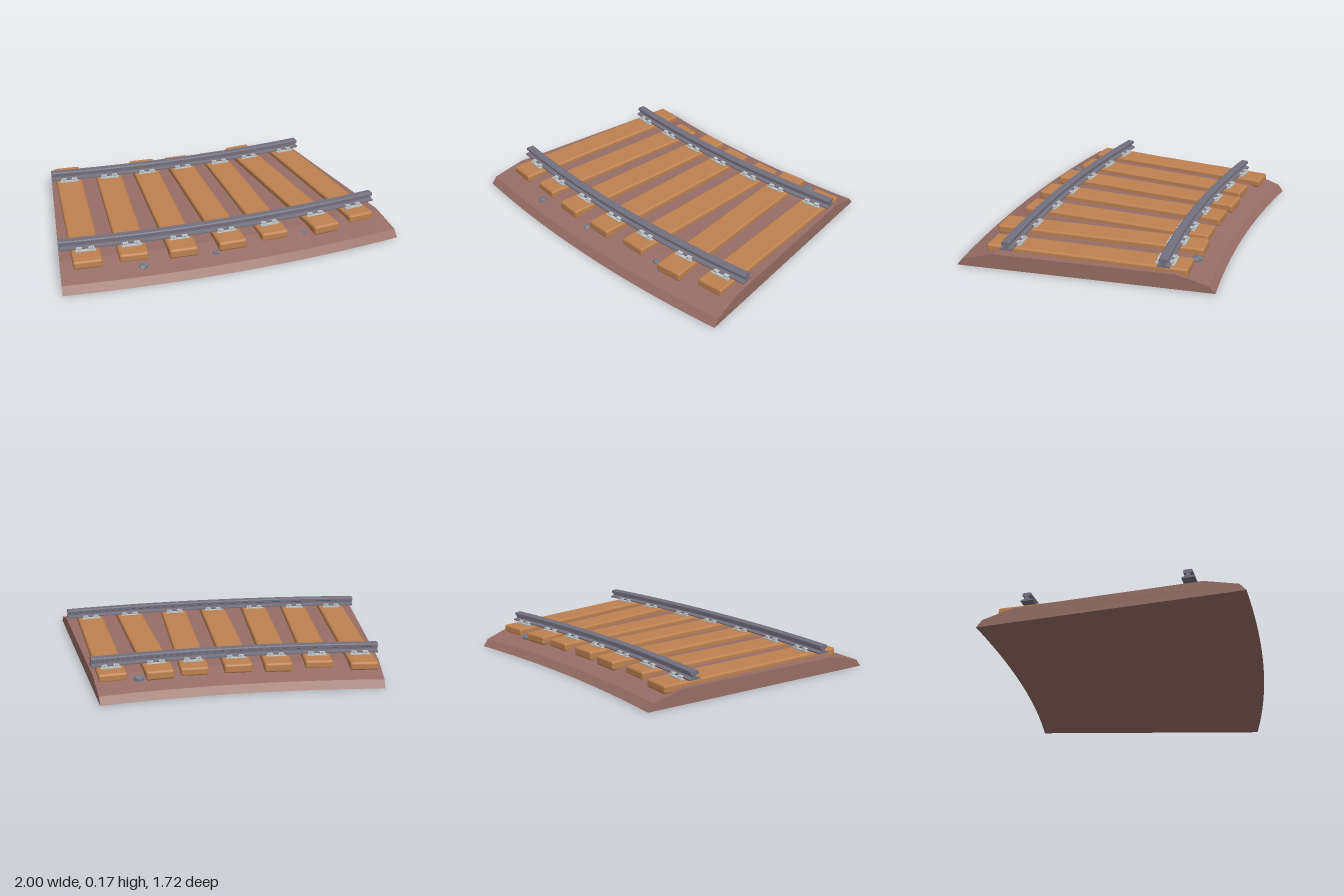
import * as THREE from 'three';
import { RoundedBoxGeometry } from 'three/addons/geometries/RoundedBoxGeometry.js';

// The track bends through 15 degrees about a centre behind its left end
const CX = -1, CZ = -6.868, ARC = Math.PI / 12;
const MID = 6.973, RAILS = [6.513, 7.423];

const mat = (name, color) => {
  const m = new THREE.MeshStandardMaterial({ color });
  m.name = name;
  return m;
};

// Sweep a counter-clockwise [radial offset, height] profile along the bend, with end caps
function sweep(profile, radius, segments) {
  const n = profile.length, pos = [], index = [];
  for (let j = 0; j <= segments; j++) {
    const a = ARC * j / segments;
    for (const [o, y] of profile) {
      pos.push(CX + (radius + o) * Math.sin(a), y, CZ + (radius + o) * Math.cos(a));
    }
  }
  for (let j = 0; j < segments; j++) {
    for (let i = 0; i < n; i++) {
      const a = j * n + i, b = j * n + (i + 1) % n;
      index.push(a, a + n, b, b, a + n, b + n);
    }
  }
  const end = segments * n;
  const pts = profile.map(([o, y]) => new THREE.Vector2(o, y));
  for (const [a, b, c] of THREE.ShapeUtils.triangulateShape(pts, [])) {
    index.push(a, b, c, end + a, end + c, end + b);
  }
  const g = new THREE.BufferGeometry();
  g.setAttribute('position', new THREE.Float32BufferAttribute(pos, 3));
  g.setIndex(index);
  const flat = g.toNonIndexed();
  flat.computeVertexNormals();
  return flat;
}

export function createModel() {
  const model = new THREE.Group();
  model.name = 'curvedTrack';
  const gravel = mat('gravel', 0x966d66);
  const wood = mat('wood', 0xbd8150);
  const steel = mat('steel', 0x73707d);
  const plateMetal = mat('plateMetal', 0xbfc5c6);
  const rock = mat('rock', 0x747b87);

  const add = (parent, name, geometry, material, x = 0, y = 0, z = 0) => {
    const m = new THREE.Mesh(geometry, material);
    m.name = name;
    m.position.set(x, y, z);
    parent.add(m);
    return m;
  };

  // Sloping ballast bed
  add(model, 'ballast', sweep([
    [-0.753, 0], [0.754, 0], [0.72, 0.042], [0.53, 0.09],
    [-0.53, 0.09], [-0.718, 0.042],
  ], MID, 20), gravel);

  // Rails: wide foot, narrow web, head
  const half = [[0.036, 0.124], [0.036, 0.131], [0.011, 0.138], [0.011, 0.15], [0.025, 0.156], [0.025, 0.169], [0.019, 0.174]];
  const railProfile = [...half, ...half.map(([o, y]) => [-o, y]).reverse()];
  RAILS.forEach((r, i) => add(model, i ? 'frontRail' : 'backRail', sweep(railProfile, r, 24), steel));

  // Sleepers: back x, back z, front x, front z, top height
  const sleepers = [
    [-0.897, -0.535, -0.845, 0.715, 0.117],
    [-0.637, -0.505, -0.588, 0.688, 0.117],
    [-0.397, -0.553, -0.307, 0.695, 0.122],
    [-0.163, -0.565, -0.018, 0.663, 0.122],
    [0.088, -0.6, 0.245, 0.6, 0.117],
    [0.283, -0.655, 0.565, 0.58, 0.122],
    [0.55, -0.683, 0.81, 0.48, 0.117],
  ];
  const plateGeo = new THREE.BoxGeometry(0.115, 0.012, 0.112);
  const clipGeo = new THREE.BoxGeometry(0.032, 0.012, 0.024);
  const boltGeo = new THREE.CylinderGeometry(0.008, 0.008, 0.014, 6);
  for (const [x0, z0, x1, z1, top] of sleepers) {
    const dx = x1 - x0, dz = z1 - z0, h = top - 0.066;
    const s = add(model, 'sleeper', new RoundedBoxGeometry(0.165, h, Math.hypot(dx, dz), 2, 0.014),
      wood, (x0 + x1) / 2, top - h / 2, (z0 + z1) / 2);
    s.rotation.y = Math.atan2(dx, dz);

    // Fastening plates where the sleeper crosses each rail
    for (const r of RAILS) {
      let t = 0.5;
      for (let k = 0; k < 6; k++) t += (r - Math.hypot(x0 + dx * t - CX, z0 + dz * t - CZ)) / dz;
      const x = x0 + dx * t, z = z0 + dz * t;
      const fastening = new THREE.Group();
      fastening.name = 'railFastening';
      fastening.position.set(x, 0.119, z);
      fastening.rotation.y = Math.atan2(x - CX, z - CZ);
      add(fastening, 'plate', plateGeo, plateMetal);
      for (const sx of [-1, 1]) {
        for (const sz of [-1, 1]) {
          add(fastening, 'clip', clipGeo, plateMetal, sx * 0.034, 0.009, sz * 0.036);
          add(fastening, 'bolt', boltGeo, plateMetal, sx * 0.034, 0.013, sz * 0.044);
        }
      }
      model.add(fastening);
    }
  }

  // Loose stones on the slopes
  const stoneGeo = new THREE.DodecahedronGeometry(1, 0);
  [[0.405, 0.078, -0.655, 0.038], [-0.545, 0.062, 0.735, 0.03],
    [-0.12, 0.068, 0.675, 0.022], [0.425, 0.076, 0.555, 0.022]].forEach(([x, y, z, r], i) => {
    const stone = add(model, 'stone', stoneGeo, rock, x, y, z);
    stone.scale.set(r, r * 0.45, r * 0.9);
    stone.rotation.y = i * 1.3;
  });

  return model;
}
